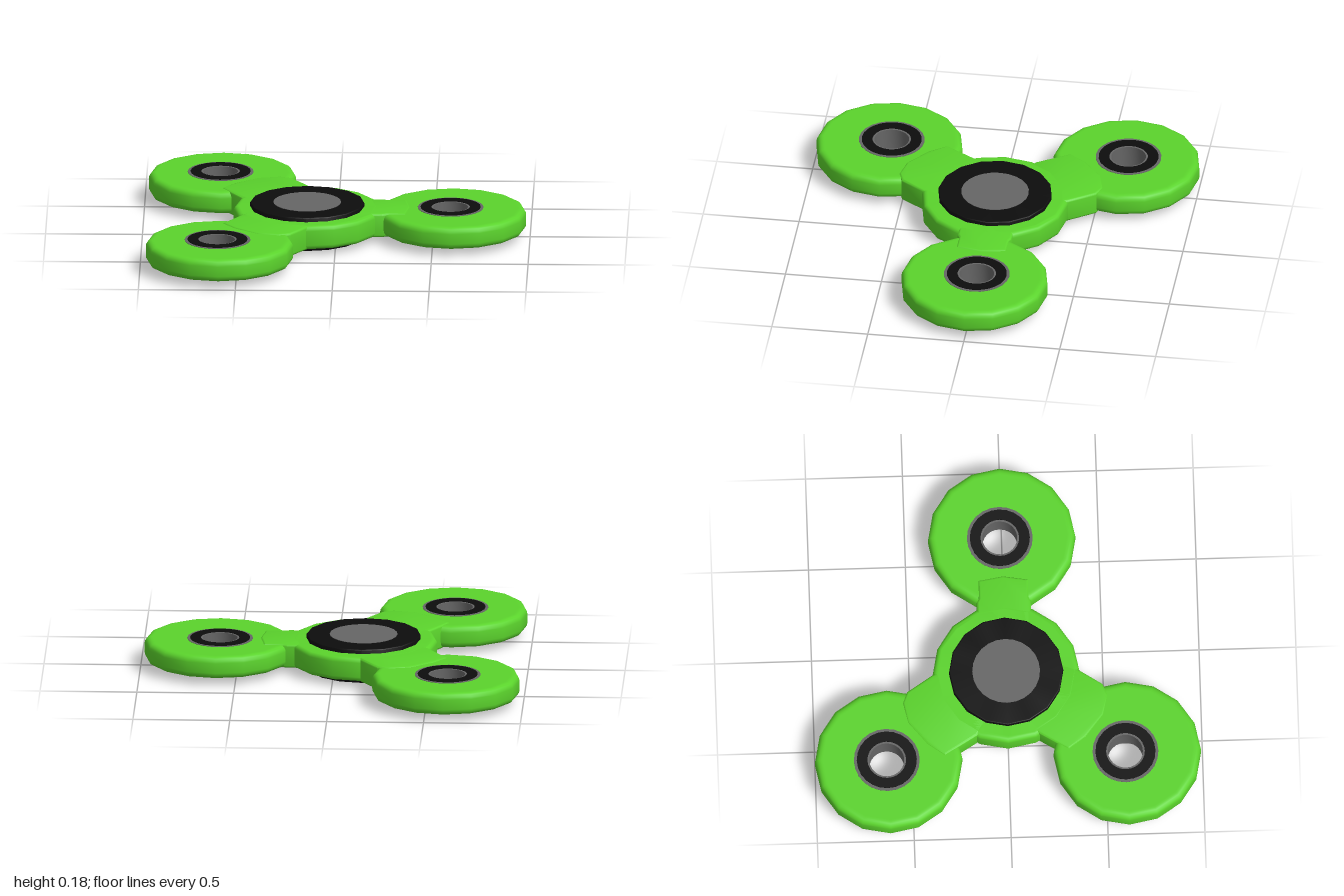
import * as THREE from 'three';
import { toCreasedNormals } from 'three/addons/utils/BufferGeometryUtils.js';

const green = new THREE.MeshStandardMaterial({ name: 'green plastic', color: 0x5bd42c });
const black = new THREE.MeshStandardMaterial({ name: 'black', color: 0x0d0d0d });
const grey = new THREE.MeshStandardMaterial({ name: 'grey metal', color: 0x666666 });

const SIDES = 16;
const HUB_X = -0.15;

function addMesh(parent, name, geometry, material) {
  const mesh = new THREE.Mesh(toCreasedNormals(geometry, 0.6), material);
  mesh.name = name;
  parent.add(mesh);
  return mesh;
}

// Ring or disc (inner = 0) with rounded outer edges, spun round the y axis
function roundedRing(inner, outer, bottom, top, bevel, sides = SIDES) {
  const points = [[inner, bottom], [outer - bevel * 1.3, bottom]];
  const steps = 4;
  for (let i = 0; i <= steps; i++) {
    const a = (i / steps) * Math.PI / 2;
    points.push([outer - bevel + bevel * Math.sin(a), bottom + bevel - bevel * Math.cos(a)]);
  }
  for (let i = 0; i <= steps; i++) {
    const a = (i / steps) * Math.PI / 2;
    points.push([outer - bevel + bevel * Math.cos(a), top - bevel + bevel * Math.sin(a)]);
  }
  points.push([outer - bevel * 1.3, top], [inner, top]);
  if (inner > 0) points.push([inner, bottom]);
  return new THREE.LatheGeometry(points.map(([x, y]) => new THREE.Vector2(x, y)), sides);
}

// Plain ring with square edges
function squareRing(inner, outer, bottom, top, sides) {
  const points = [[inner, bottom], [outer, bottom], [outer, top], [inner, top], [inner, bottom]];
  return new THREE.LatheGeometry(points.map(([x, y]) => new THREE.Vector2(x, y)), sides);
}

// Flat arm from an outline of [x, z] corners
function armGeometry(outline) {
  const shape = new THREE.Shape(outline.map(([x, z]) => new THREE.Vector2(x, -z)));
  const bevel = 0.012;
  const geometry = new THREE.ExtrudeGeometry(shape, {
    depth: 0.126 - 2 * bevel, bevelThickness: bevel, bevelSize: bevel,
    bevelOffset: -bevel, bevelSegments: 3,
  });
  geometry.rotateX(-Math.PI / 2);
  geometry.translate(0, 0.032 + bevel, 0);
  return geometry;
}

export function createModel() {
  const model = new THREE.Group();
  model.name = 'spinner';

  // Central hub with its finger cap
  const hub = new THREE.Group();
  hub.name = 'hub';
  hub.position.x = HUB_X;
  model.add(hub);
  addMesh(hub, 'hubBody', roundedRing(0, 0.38, 0.032, 0.158, 0.025), green);
  addMesh(hub, 'fingerCap', roundedRing(0, 0.295, 0.002, 0.18, 0.006), black);
  for (const [name, y] of [['topCapDisc', 0.18], ['bottomCapDisc', 0.002]]) {
    const disc = addMesh(hub, name, new THREE.CylinderGeometry(0.175, 0.175, 0.004, 24), grey);
    disc.position.y = y;
  }

  // Arms joining the hub to the lobes
  addMesh(model, 'leftArm', armGeometry([
    [0, -0.14], [0.24, -0.14], [0.26, -0.13], [0.36, -0.13], [0.382, 0],
    [0.36, 0.13], [0.26, 0.13], [0.24, 0.14], [0, 0.14],
  ]), green);
  const diagonal = [
    [-0.10, -0.26], [-0.15, -0.38], [-0.24, -0.515], [-0.30, -0.54], [-0.41, -0.515],
    [-0.53, -0.42], [-0.595, -0.33], [-0.49, -0.16], [-0.38, -0.08],
  ];
  addMesh(model, 'backArm', armGeometry(diagonal), green);
  addMesh(model, 'frontArm', armGeometry(diagonal.map(([x, z]) => [x + 0.015, -z - 0.02])), green);

  // Three lobes, each with an open bearing
  const lobes = [
    ['leftLobe', 0.6, 0], ['backLobe', -0.6, -0.62], ['frontLobe', -0.59, 0.612],
  ];
  for (const [name, x, z] of lobes) {
    const lobe = new THREE.Group();
    lobe.name = name;
    lobe.position.set(x, 0, z);
    model.add(lobe);
    addMesh(lobe, 'lobeBody', roundedRing(0.155, 0.38, 0.037, 0.153, 0.032), green);

    const bearing = new THREE.Group();
    bearing.name = 'bearing';
    bearing.position.set(-0.01, 0, -0.01);
    lobe.add(bearing);
    addMesh(bearing, 'bearingSleeve', squareRing(0.09, 0.17, 0.035, 0.155, 24), grey);
    addMesh(bearing, 'topBearingRing', squareRing(0.1, 0.155, 0.153, 0.158, 24), black);
    addMesh(bearing, 'bottomBearingRing', squareRing(0.1, 0.155, 0.032, 0.037, 24), black);
  }

  return model;
}
